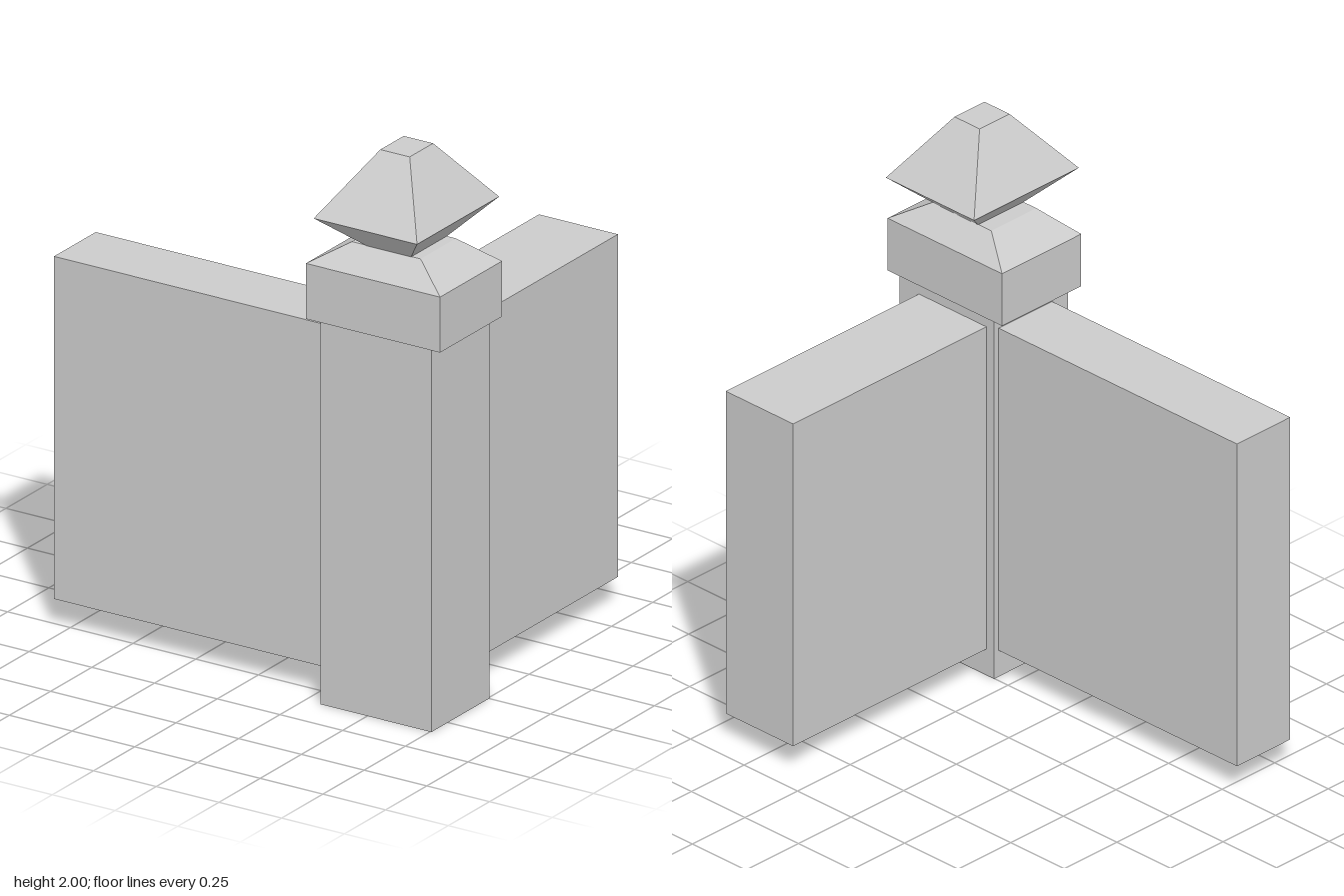
import * as THREE from 'three';

const material = new THREE.MeshStandardMaterial({ color: 0xcccccc, flatShading: true });
const openMaterial = new THREE.MeshStandardMaterial({ color: 0xcccccc, flatShading: true, side: THREE.DoubleSide });

// Stacks rectangular rings [y, x0, x1, z0, z1] from bottom to top into a faceted solid
function stack(name, rings, openBottom = false) {
  const corners = rings.map(([y, x0, x1, z0, z1]) => [
    [x0, y, z1], [x1, y, z1], [x1, y, z0], [x0, y, z0],
  ]);
  const positions = [];
  const quad = (a, b, c, d) => positions.push(...a, ...b, ...c, ...a, ...c, ...d);
  for (let i = 0; i < corners.length - 1; i++) {
    const low = corners[i], high = corners[i + 1];
    for (let k = 0; k < 4; k++) {
      const n = (k + 1) % 4;
      quad(low[k], low[n], high[n], high[k]);
    }
  }
  quad(...corners[corners.length - 1]);
  if (!openBottom) quad(...[...corners[0]].reverse());

  const geometry = new THREE.BufferGeometry();
  geometry.setAttribute('position', new THREE.Float32BufferAttribute(positions, 3));
  geometry.computeVertexNormals();
  const mesh = new THREE.Mesh(geometry, openBottom ? openMaterial : material);
  mesh.name = name;
  return mesh;
}

// Straight block between two heights
const block = (name, y0, y1, rect, openBottom) =>
  stack(name, [[y0, ...rect], [y1, ...rect]], openBottom);

export function createModel() {
  const model = new THREE.Group();
  model.name = 'cornerWall';

  // Hollow corner post, open underneath
  model.add(block('post', 0, 1.38, [0.313, 0.755, 0.248, 0.6], true));

  // Two walls running into the post, raised off the ground
  model.add(block('sideWall', 0.1, 1.335, [-0.8, 0.7, 0.27, 0.523]));
  model.add(block('backWall', 0.1, 1.335, [0.349, 0.664, -0.67, 0.5]));

  // Post cap with bevelled top
  model.add(stack('postCap', [
    [1.38, 0.26, 0.795, 0.232, 0.608],
    [1.58, 0.26, 0.795, 0.232, 0.608],
    [1.66, 0.39, 0.664, 0.313, 0.527],
  ]));

  // Faceted finial flaring out, then tapering to a flat tip
  model.add(stack('finial', [
    [1.66, 0.45, 0.628, 0.311, 0.53],
    [1.78, 0.332, 0.744, 0.172, 0.67],
    [2.0, 0.48, 0.597, 0.349, 0.491],
  ]));

  return model;
}
